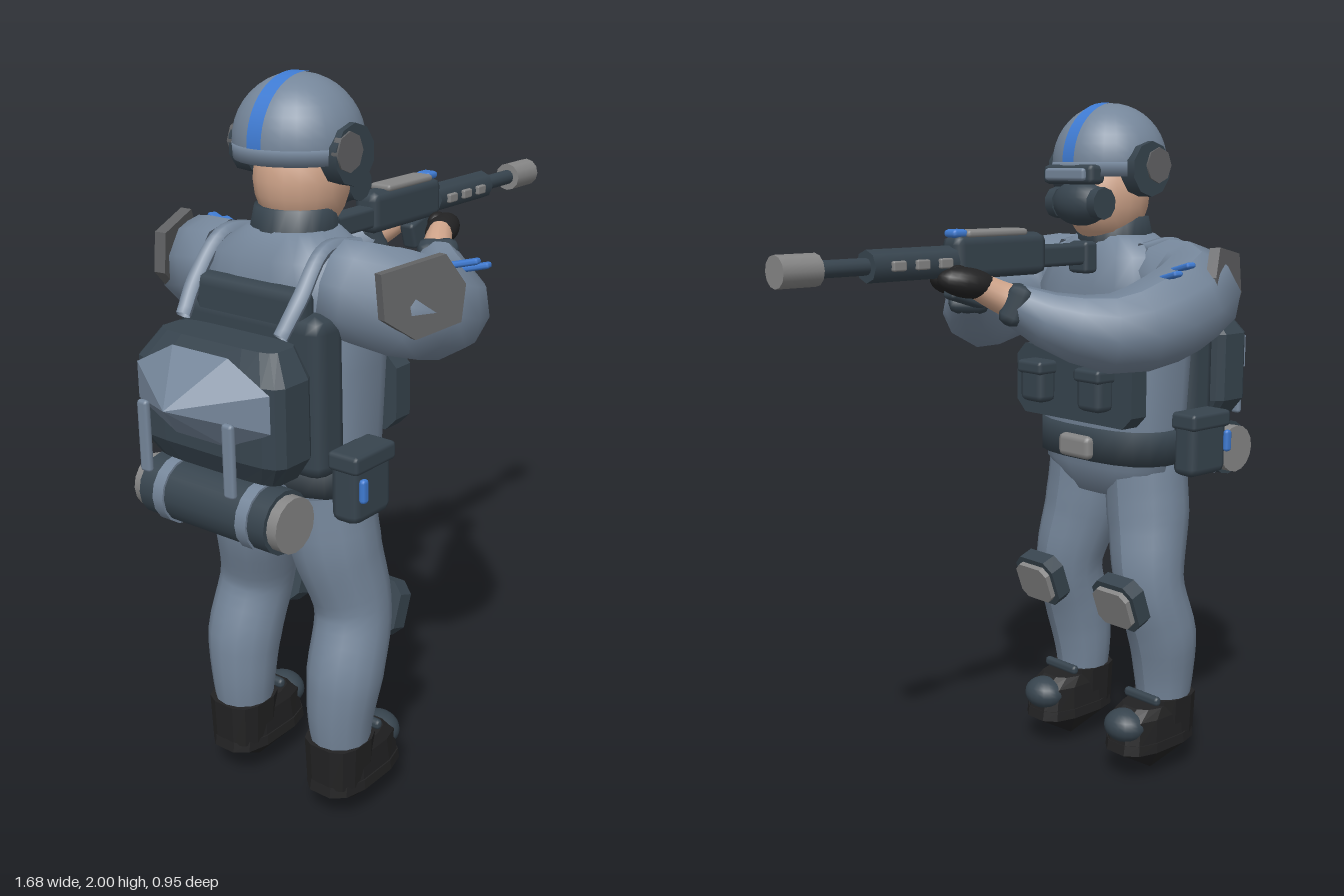
import * as THREE from 'three';
import { RoundedBoxGeometry } from 'three/addons/geometries/RoundedBoxGeometry.js';

const mat = (name, color) => Object.assign(new THREE.MeshStandardMaterial({ color }), { name });

// Closed body from level sections [y, centreX, centreZ, radiusX, radiusZ]; low power = squarer
function loft(sections, power = 1, n = 20, flat = false) {
  const pos = [], idx = [];
  const bend = v => Math.sign(v) * Math.abs(v) ** power;
  for (const [y, cx, cz, rx, rz] of sections) {
    for (let j = 0; j < n; j++) {
      const a = ((j + 0.5) / n) * Math.PI * 2;
      pos.push(cx + rx * bend(Math.cos(a)), y, cz + rz * bend(Math.sin(a)));
    }
  }
  const last = sections.length - 1, bottom = pos.length / 3;
  for (const s of [sections[0], sections[last]]) pos.push(s[1], s[0], s[2]);
  for (let j = 0; j < n; j++) {
    const k = (j + 1) % n;
    for (let i = 0; i < last; i++) {
      const a = i * n + j, b = i * n + k;
      idx.push(a, a + n, b, b, a + n, b + n);
    }
    idx.push(bottom, j, k, bottom + 1, last * n + k, last * n + j);
  }
  let g = new THREE.BufferGeometry();
  g.setAttribute('position', new THREE.Float32BufferAttribute(pos, 3));
  g.setIndex(idx);
  if (flat) g = g.toNonIndexed();
  g.computeVertexNormals();
  return g;
}

// Tube of changing thickness through points [x, y, z, radius]
function limb(points, sides = 14, steps = 20) {
  const curve = new THREE.CatmullRomCurve3(points.map(p => new THREE.Vector3(p[0], p[1], p[2])));
  const g = new THREE.TubeGeometry(curve, steps, 1, sides);
  const p = g.attributes.position, v = new THREE.Vector3();
  for (let i = 0; i < p.count; i++) {
    const u = Math.floor(i / (sides + 1)) / steps, c = curve.getPointAt(u);
    const t = curve.getUtoTmapping(u) * (points.length - 1);
    const k = Math.min(Math.floor(t), points.length - 2);
    v.fromBufferAttribute(p, i).sub(c);
    v.multiplyScalar(THREE.MathUtils.lerp(points[k][3], points[k + 1][3], t - k)).add(c);
    p.setXYZ(i, v.x, v.y, v.z);
  }
  g.computeVertexNormals();
  return g;
}

export function createModel() {
  const cloth = mat('blue grey cloth', 0x75869a), dark = mat('dark slate', 0x37444e);
  const black = mat('black rubber', 0x222223), grey = mat('grey metal', 0x868686);
  const plate = mat('dark grey plate', 0x626365), blue = mat('blue accent', 0x3f7bd2);
  const skin = mat('skin', 0xcfa48a);
  cloth.side = THREE.DoubleSide;

  const model = new THREE.Group();
  const body = new THREE.Group();
  body.name = 'body';
  body.position.z = 0.015;
  model.add(body);

  const add = (name, geo, m, pos = [0, 0, 0], rot = [0, 0, 0], parent = body) => {
    const mesh = new THREE.Mesh(geo, m);
    mesh.name = name;
    mesh.position.set(...pos);
    mesh.rotation.set(...rot);
    parent.add(mesh);
    return mesh;
  };
  const box = (w, h, d, r = 0.012) => new RoundedBoxGeometry(w, h, d, 1, Math.min(r, w / 2.1, h / 2.1, d / 2.1));
  const ball = (x, y, z) => new THREE.SphereGeometry(1, 18, 12).scale(x, y, z);
  const rodX = (r, len, n = 12) => new THREE.CylinderGeometry(r, r, len, n).rotateZ(Math.PI / 2);
  const rodZ = (r, len, n = 16) => new THREE.CylinderGeometry(r, r, len, n).rotateX(Math.PI / 2);
  // Flat plate facing +x with cut corners, from height and depth
  const cutPlate = (w, h, d, cut) => {
    const y = h / 2, z = d / 2;
    const shape = new THREE.Shape([[-z + cut, -y], [z - cut, -y], [z, -y + cut], [z, y - cut], [z - cut, y],
      [-z + cut, y], [-z, y - cut], [-z, -y + cut]].map(p => new THREE.Vector2(...p)));
    return new THREE.ExtrudeGeometry(shape, { depth: w, bevelEnabled: false }).translate(0, 0, -w / 2).rotateY(Math.PI / 2);
  };

  // Torso, belt and collar
  add('torso', loft([[0.86, -0.37, 0, 0.1, 0.14], [0.95, -0.37, 0, 0.145, 0.235], [1.08, -0.36, 0, 0.145, 0.24],
    [1.3, -0.36, 0, 0.155, 0.25], [1.48, -0.36, 0, 0.16, 0.25], [1.57, -0.37, 0, 0.14, 0.21],
    [1.63, -0.36, 0, 0.1, 0.11]], 0.75), cloth);
  add('belt', loft([[0.97, -0.365, 0, 0.155, 0.25], [1.07, -0.365, 0, 0.155, 0.25]], 0.75), dark);
  add('buckle', box(0.04, 0.07, 0.13, 0.018), grey, [-0.205, 1.01, 0]);
  add('collar', loft([[1.56, -0.36, 0, 0.12, 0.125], [1.68, -0.35, 0, 0.1, 0.105]]), dark);

  // Vest
  add('chestPlate', cutPlate(0.06, 0.21, 0.48, 0.035), dark, [-0.215, 1.195, 0]);
  add('backPlate', box(0.12, 0.42, 0.47, 0.04), dark, [-0.495, 1.25, 0]);
  add('upperBackPlate', box(0.07, 0.14, 0.36, 0.03), dark, [-0.515, 1.45, 0]);
  for (const s of [-1, 1]) {
    add('chestPouch', box(0.07, 0.11, 0.095, 0.02), dark, [-0.16, 1.19, s * 0.12]);
    add('pouchFlap', box(0.08, 0.04, 0.105), dark, [-0.158, 1.24, s * 0.12]);
    add('beltPouch', box(0.155, 0.19, 0.085, 0.025), dark, [-0.44, 1.03, s * 0.275]);
    add('beltPouchFlap', box(0.165, 0.05, 0.095), dark, [-0.44, 1.1, s * 0.278]);
    add('pouchStrip', box(0.025, 0.065, 0.02), blue, [-0.5, 1.035, s * 0.33]);
    add('shoulderStrap', limb([[-0.6, 1.42, s * 0.16, 0.02], [-0.54, 1.5, s * 0.17, 0.022],
      [-0.44, 1.6, s * 0.165, 0.02], [-0.3, 1.59, s * 0.16, 0.02]], 6), cloth);
  }

  // Backpack with bedroll
  add('backpack', loft([[1.07, -0.625, 0, 0.06, 0.2], [1.13, -0.635, 0, 0.082, 0.24], [1.33, -0.635, 0, 0.08, 0.24],
    [1.4, -0.615, 0, 0.055, 0.19]], 0.4, 16, true), dark);
  add('packPanel', new THREE.ConeGeometry(1.05, 0.13, 8, 1).toNonIndexed().rotateY(Math.PI / 8)
    .rotateZ(Math.PI / 2).scale(1, 0.118, 0.225), cloth, [-0.775, 1.27, 0]).geometry.computeVertexNormals();
  add('bedroll', rodZ(0.083, 0.42), dark, [-0.655, 0.975, 0]);
  for (const s of [-1, 1]) {
    add('bedrollEnd', rodZ(0.072, 0.04), grey, [-0.655, 0.975, s * 0.22]);
    add('bedrollStrap', rodZ(0.089, 0.035), cloth, [-0.655, 0.975, s * 0.14]);
    add('packStrap', box(0.02, 0.19, 0.035), cloth, [-0.77, 1.155, s * 0.14]);
  }

  // Legs, knee pads and boots
  for (const s of [-1, 1]) {
    const z = s * 0.178;
    add('leg', limb([[-0.38, 0.96, s * 0.115, 0.125], [-0.375, 0.8, s * 0.135, 0.125], [-0.345, 0.6, s * 0.172, 0.105],
      [-0.395, 0.43, s * 0.183, 0.106], [-0.412, 0.3, z, 0.092], [-0.412, 0.19, z, 0.078]]), cloth);
    add('kneePadRim', cutPlate(0.05, 0.155, 0.165, 0.03), dark, [-0.228, 0.56, s * 0.17], [0, 0, -0.35]);
    add('kneePad', cutPlate(0.025, 0.12, 0.135, 0.022), grey, [-0.2, 0.55, s * 0.17], [0, 0, -0.35]);
    add('bootShaft', loft([[0.11, -0.415, z, 0.088, 0.08], [0.235, -0.415, z, 0.09, 0.086]], 0.7, 12, true), black);
    add('bootFoot', loft([[0.11, -0.355, z, 0.15, 0.085], [0.19, -0.355, z, 0.135, 0.08],
      [0.22, -0.375, z, 0.11, 0.07]], 0.7, 12, true), black);
    add('toeCap', ball(0.06, 0.05, 0.068), dark, [-0.245, 0.168, z]);
    add('bootStrap', box(0.025, 0.03, 0.14), dark, [-0.32, 0.24, z]);
    add('sole', loft([[0, -0.36, z, 0.004, 0.004], [0.09, -0.355, z, 0.155, 0.09],
      [0.12, -0.355, z, 0.15, 0.088]], 0.7, 12, true), black);
  }

  // Arms: points [x, y, z, radius], with z already measured from the body centre
  const arms = [
    { s: 1, path: [[-0.38, 1.5, 0.16, 0.12], [-0.35, 1.48, 0.29, 0.138], [-0.2, 1.43, 0.325, 0.13],
      [-0.06, 1.405, 0.26, 0.115], [0.04, 1.43, 0.18, 0.088], [0.1, 1.47, 0.125, 0.06]],
      wrist: [[0.08, 1.46, 0.145, 0.052], [0.12, 1.49, 0.11, 0.042], [0.19, 1.52, 0.07, 0.035]], hand: [0.217, 1.52, 0.06] },
    { s: -1, path: [[-0.38, 1.5, -0.18, 0.12], [-0.35, 1.48, -0.32, 0.132], [-0.2, 1.43, -0.365, 0.128],
      [-0.02, 1.39, -0.335, 0.11], [0.11, 1.42, -0.25, 0.083], [0.2, 1.47, -0.18, 0.057]],
      wrist: [[0.17, 1.46, -0.2, 0.05], [0.23, 1.49, -0.16, 0.042], [0.3, 1.53, -0.125, 0.035]], hand: [0.315, 1.53, -0.125] },
  ];
  for (const { s, path, wrist, hand } of arms) {
    add('arm', limb(path, 10, 9), cloth);
    add('wrist', limb(wrist), skin);
    const [x, y, z] = path[5];
    add('cuff', box(0.065, 0.11, 0.115, 0.025), dark, [x, y, z], [0, s * 0.7, 0.4]);
    add('glove', ball(0.083, 0.04, 0.045), black, hand, [0, s * 0.3, 0.15]);
    add('thumb', ball(0.035, 0.03, 0.025), black, [hand[0] + 0.01, hand[1] + 0.015, hand[2] - s * 0.025]);
    // Angular shoulder plate, turned towards the back
    const shape = new THREE.Shape([[-0.11, 0.08], [0.07, 0.1], [0.12, 0.02], [0.1, -0.07], [-0.03, -0.09], [-0.11, -0.03]]
      .map(p => new THREE.Vector2(...p)));
    add('shoulderPlate', new THREE.ExtrudeGeometry(shape, { depth: 0.03, bevelEnabled: false }).translate(0, 0, -0.015),
      plate, [-0.375, 1.505, s * 0.405], [-s * 0.1, -s * 0.4, 0]);
    for (const [bx, by] of [[-0.2, 1.555], [-0.15, 1.535]]) {
      add('sleeveBar', box(0.03, 0.016, 0.11, 0.007), blue, [bx, by, s * 0.395], [-s * 0.25, s * 0.2, 0]);
    }
  }

  // Head, helmet and headset
  add('head', ball(0.13, 0.15, 0.12), skin, [-0.32, 1.745, 0]);
  add('neck', loft([[1.6, -0.35, 0, 0.08, 0.08], [1.72, -0.34, 0, 0.085, 0.085]]), skin);
  add('helmet', new THREE.SphereGeometry(0.166, 28, 10, 0, Math.PI * 2, 0, Math.PI / 2), cloth, [-0.33, 1.834, 0]);
  add('helmetRim', loft([[1.795, -0.325, 0, 0.17, 0.165], [1.834, -0.33, 0, 0.166, 0.166]], 1, 28), cloth);
  add('helmetStripe', new THREE.CylinderGeometry(0.168, 0.168, 0.045, 28, 1, true, Math.PI / 2, Math.PI)
    .rotateX(Math.PI / 2), blue, [-0.33, 1.834, 0]);
  add('goggles', box(0.06, 0.055, 0.2, 0.015), dark, [-0.185, 1.8, 0]);
  add('gogglesLens', box(0.02, 0.035, 0.16), cloth, [-0.153, 1.8, 0]);
  add('mask', ball(0.062, 0.065, 0.1), dark, [-0.215, 1.72, 0]);
  for (const s of [-1, 1]) {
    add('earCup', rodZ(0.077, 0.05, 10), dark, [-0.325, 1.815, s * 0.148]);
    add('earCupCap', rodZ(0.05, 0.02, 8), plate, [-0.35, 1.825, s * 0.168]);
    add('maskFilter', rodZ(0.045, 0.03, 10), dark, [-0.21, 1.72, s * 0.085]);
  }

  // Rifle
  const rifle = new THREE.Group();
  rifle.name = 'rifle';
  rifle.position.set(0, 1.58, -0.03);
  model.add(rifle);
  const part = (name, geo, m, pos, rot) => add(name, geo, m, pos, rot, rifle);
  part('butt', box(0.05, 0.09, 0.075), dark, [-0.18, -0.01, 0]);
  part('stock', box(0.2, 0.06, 0.06), dark, [-0.08, 0, 0]);
  part('receiver', box(0.32, 0.115, 0.08, 0.025), dark, [0.15, 0.01, 0]);
  part('topCover', box(0.21, 0.02, 0.07), grey, [0.165, 0.07, 0]);
  part('sightStrip', box(0.05, 0.022, 0.05), blue, [0.285, 0.072, 0]);
  part('handguard', rodX(0.042, 0.27, 8), dark, [0.44, 0, 0]);
  part('magazine', box(0.12, 0.08, 0.05), dark, [0.25, -0.075, 0], [0, 0, 0.3]);
  part('barrel', rodX(0.022, 0.2), dark, [0.64, 0, 0]);
  part('muzzle', rodX(0.041, 0.115, 12), grey, [0.782, 0, 0]);
  for (const s of [-1, 1]) {
    for (const x of [0.355, 0.43, 0.505]) part('handguardSlot', box(0.042, 0.026, 0.016, 0.005), grey, [x, 0, s * 0.043]);
  }
  return model;
}
